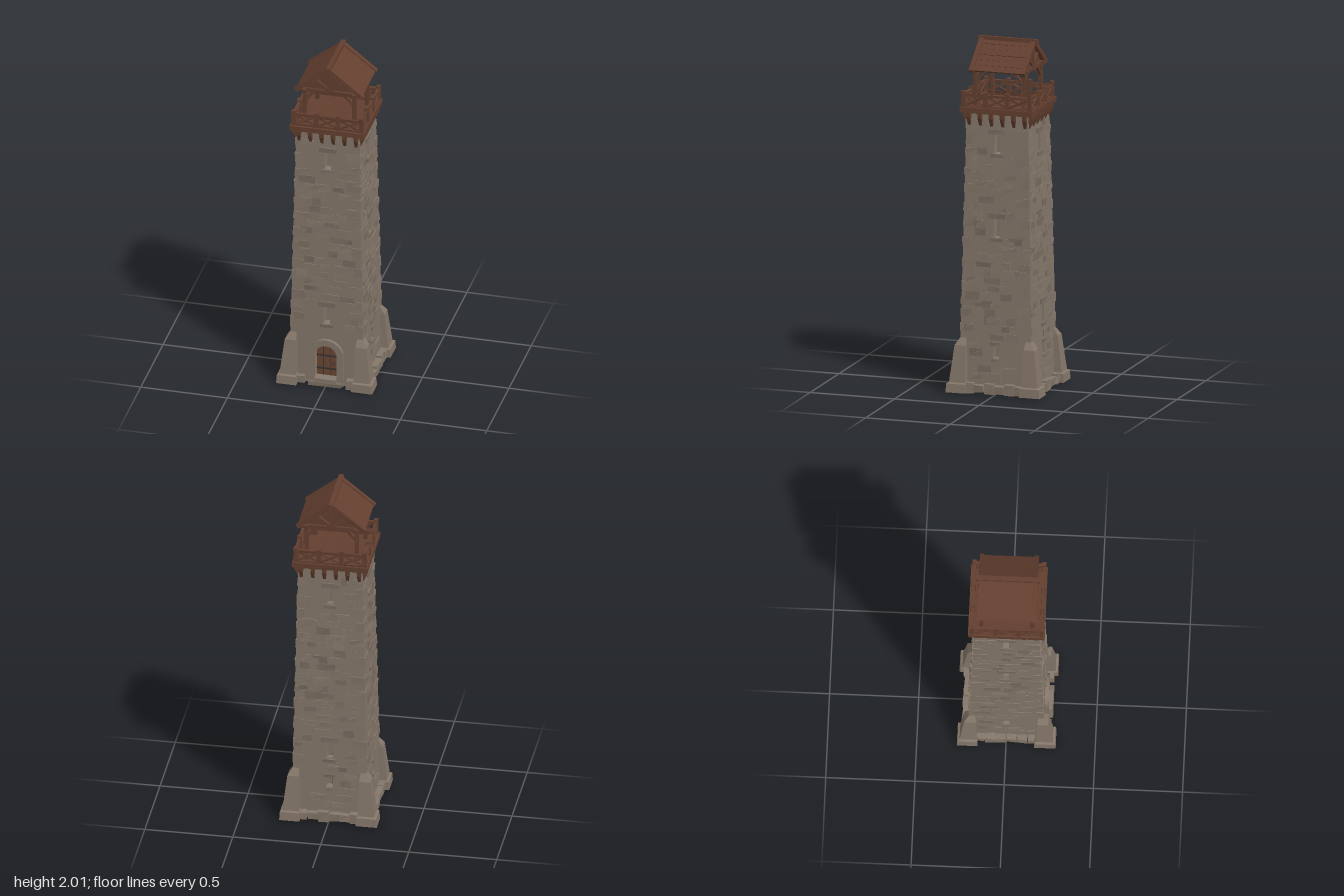
import * as THREE from 'three';
import { mergeGeometries } from 'three/addons/utils/BufferGeometryUtils.js';

const mat = (name, color) => {
  const m = new THREE.MeshStandardMaterial({ color });
  m.name = name;
  return m;
};

export function createModel() {
  const stone = mat('stone', 0x85776a);
  const darkStone = mat('dark stone', 0x796c60);
  const wood = mat('wood', 0x633f2f);
  const doorWood = mat('door wood', 0x6b4733);
  const iron = mat('iron', 0x3a3330);

  const root = new THREE.Group();
  root.name = 'watchtower';

  let seed = 7;
  const rnd = (a = 0, b = 1) => {
    seed = (seed * 16807) % 2147483647;
    return a + (b - a) * (seed / 2147483647);
  };

  const add = (parent, name, geo, material) => {
    const m = new THREE.Mesh(geo, material);
    m.name = name;
    parent.add(m);
    return m;
  };
  const newGroup = (parent, name) => {
    const g = new THREE.Group();
    g.name = name;
    parent.add(g);
    return g;
  };

  // Box with its eight corners nudged, for hewn stone and rough timber
  const rough = (w, h, d, j) => {
    const g = new THREE.BoxGeometry(w, h, d).toNonIndexed();
    const off = Array.from({ length: 8 }, () => [rnd(-j, j), rnd(-j, j), rnd(-j, j)]);
    const p = g.attributes.position;
    for (let i = 0; i < p.count; i++) {
      const [x, y, z] = [p.getX(i), p.getY(i), p.getZ(i)];
      const o = off[(x > 0 ? 1 : 0) + (y > 0 ? 2 : 0) + (z > 0 ? 4 : 0)];
      p.setXYZ(i, x + o[0], y + o[1], z + o[2]);
    }
    g.computeVertexNormals();
    return g;
  };

  // Timber from point a to point b
  const beamGeo = (a, b, w, h, j = 0.002) => {
    const A = new THREE.Vector3(...a), B = new THREE.Vector3(...b);
    const o = new THREE.Object3D();
    o.position.copy(A).add(B).multiplyScalar(0.5);
    o.lookAt(B);
    o.updateMatrix();
    return rough(w, h, A.distanceTo(B), j).applyMatrix4(o.matrix);
  };
  const beam = (parent, name, a, b, w, h, m = wood) => add(parent, name, beamGeo(a, b, w, h), m);

  // Solid through rectangular sections [y, x0, x1, z0, z1]
  const loft = (sections) => {
    const v = [];
    const rings = sections.map(([y, x0, x1, z0, z1]) => [[x0, y, z0], [x0, y, z1], [x1, y, z1], [x1, y, z0]]);
    const quad = (a, b, c, d) => v.push(...a, ...b, ...c, ...a, ...c, ...d);
    for (let k = 0; k + 1 < rings.length; k++) {
      for (let i = 0; i < 4; i++) {
        const n = (i + 1) % 4;
        quad(rings[k][i], rings[k][n], rings[k + 1][n], rings[k + 1][i]);
      }
    }
    quad(...rings[rings.length - 1]);
    quad(...[...rings[0]].reverse());
    const g = new THREE.BufferGeometry();
    g.setAttribute('position', new THREE.Float32BufferAttribute(v, 3));
    g.computeVertexNormals();
    return g;
  };

  // Shaft: four mitred, inward leaning walls
  const H = 1.59, T = 0.045;
  const half = (y) => 0.216 - 0.034 * (y / H);
  const lean = -Math.atan(0.034 / H);
  const windows = [
    [[1.36, 0.11], [0.38, 0.11]],
    [[1.37, 0.11], [0.89, 0.11], [0.2, 0.065]],
    [[1.36, 0.11], [0.38, 0.11], [0.2, 0.06]],
    [[1.37, 0.11], [0.89, 0.11], [0.2, 0.065]],
  ];
  const DOOR = 0.063, SPRING = 0.185;

  for (let s = 0; s < 4; s++) {
    const side = newGroup(root, ['front', 'left', 'back', 'right'][s] + 'Side');
    side.rotation.y = s * Math.PI / 2;
    const front = s === 0;

    const shape = new THREE.Shape();
    shape.moveTo(-half(0), 0);
    if (front) {
      shape.lineTo(-DOOR, 0).lineTo(-DOOR, SPRING);
      shape.absarc(0, SPRING, DOOR, Math.PI, 0, true);
      shape.lineTo(DOOR, 0);
    }
    shape.lineTo(half(0), 0).lineTo(half(H), H).lineTo(-half(H), H).closePath();
    for (const [y, h] of windows[s]) {
      const hole = new THREE.Path();
      hole.moveTo(-0.021, y).lineTo(-0.015, y + h).lineTo(0.019, y + h).lineTo(0.018, y).closePath();
      shape.holes.push(hole);
    }
    const wall = new THREE.ExtrudeGeometry(shape, { depth: T, bevelEnabled: false, curveSegments: 10 });
    const p = wall.attributes.position;
    for (let i = 0; i < p.count; i++) {
      const hw = half(p.getY(i)), z = p.getZ(i) - T;
      p.setX(i, p.getX(i) * (hw + z) / hw);
      p.setZ(i, hw + z);
    }
    wall.computeVertexNormals();
    add(side, 'wall', wall, stone);

    // Window lintels and sills
    for (const [y, h] of windows[s]) {
      const big = h > 0.1 ? 1 : 0.6;
      for (const [n, yy, w, hh] of [['lintel', y + h + 0.015, 0.1, 0.03], ['sill', y - 0.01, 0.075, 0.02]]) {
        add(side, n, rough(w * big, hh * big, 0.03, 0.002), darkStone).position.set(0, yy, half(yy) - 0.006);
      }
    }

    // Raised stones scattered in courses
    const light = [], dark = [];
    const blocked = (x, y, w, h) =>
      windows[s].some(([wy, wh]) => Math.abs(x) < w / 2 + 0.055 && y + h / 2 > wy - 0.025 && y - h / 2 < wy + wh + 0.035) ||
      (front && y < 0.34 && Math.abs(x) < w / 2 + 0.105);
    for (let y = 0.09; y < 1.52; y += 0.046) {
      for (let n = 0; n < 3; n++) {
        const w = rnd(0.04, 0.1), h = rnd(0.025, 0.048);
        const lim = half(y) - w / 2 - 0.008 - (y < 0.33 ? 0.04 : 0);
        const x = rnd(-lim, lim);
        if (blocked(x, y, w, h)) continue;
        const g = rough(w, h, 0.016, 0.0025).rotateX(lean).translate(x, y, half(y) - 0.004);
        (rnd() < 0.35 ? dark : light).push(g);
      }
    }
    // Corner stones, long and short alternately
    for (let y = 0.37, k = 0; y < 1.53; y += rnd(0.07, 0.13), k++) {
      const w = k % 2 ? 0.08 : 0.045, d = k % 2 ? 0.045 : 0.08, e = half(y) + 0.003;
      light.push(rough(w, rnd(0.04, 0.065), d, 0.003).translate(e - w / 2, y, e - d / 2));
    }
    // Footing stones
    for (let x = -0.15; x < 0.16; x += 0.06) {
      if (front && Math.abs(x) < 0.1) continue;
      light.push(rough(0.058, rnd(0.035, 0.06), 0.06, 0.004).translate(x, 0.026, 0.218 + rnd(0, 0.008)));
    }
    add(side, 'raisedStones', mergeGeometries(light), stone);
    add(side, 'darkRaisedStones', mergeGeometries(dark), darkStone);

    // Corner buttress with stepped foot and sloped top
    add(side, 'buttress', loft([
      [0, 0.158, 0.279, 0.16, 0.275], [0.05, 0.16, 0.274, 0.162, 0.272], [0.056, 0.166, 0.262, 0.166, 0.26],
      [0.265, 0.172, 0.236, 0.17, 0.236], [0.315, 0.178, 0.204, 0.176, 0.204],
    ]), stone);

    // Wooden brackets under the platform
    for (let i = 0; i < 6; i++) {
      const x = -0.165 + i * 0.066;
      add(side, 'bracket', loft([
        [1.525, x - 0.008, x + 0.008, 0.165, 0.187],
        [1.57, x - 0.011, x + 0.011, 0.165, 0.207], [1.605, x - 0.011, x + 0.011, 0.165, 0.21],
      ]), wood);
    }

    // Platform edge and railing with crossed braces
    beam(side, 'platformEdge', [-0.213, 1.614, 0.201], [0.213, 1.614, 0.201], 0.026, 0.03);
    const R = 0.195, posts = [-R, -0.063, 0.063, R];
    beam(side, 'topRail', [-0.205, 1.697, R], [0.205, 1.697, R], 0.016, 0.016);
    beam(side, 'bottomRail', [-0.2, 1.634, R], [0.2, 1.634, R], 0.014, 0.012);
    posts.forEach((x, i) => {
      if (i === 3) return;
      beam(side, 'railPost', [x, 1.6, R], [x, 1.72, R], 0.024, 0.024);
      const x2 = posts[i + 1];
      beam(side, 'railBrace', [x + 0.008, 1.638, R + 0.003], [x2 - 0.008, 1.692, R + 0.003], 0.01, 0.012);
      beam(side, 'railBrace', [x + 0.008, 1.692, R - 0.003], [x2 - 0.008, 1.638, R - 0.003], 0.01, 0.012);
    });
  }

  // Platform floor boards
  for (let i = 0; i < 8; i++) {
    add(root, 'floorBoard', rough(0.05, 0.018, 0.4, 0.001), wood).position.set(-0.175 + i * 0.05, 1.61, 0);
  }

  // Doorway: arched surround, planks, iron straps, ring and step
  const door = newGroup(root, 'doorway');
  const arch = (r) => {
    const a = new THREE.Shape();
    a.moveTo(-r, 0).lineTo(-r, SPRING);
    a.absarc(0, SPRING, r, Math.PI, 0, true);
    return a.lineTo(r, 0);
  };
  const ring = arch(0.1);
  ring.lineTo(DOOR, 0).lineTo(DOOR, SPRING);
  ring.absarc(0, SPRING, DOOR, 0, Math.PI, false);
  ring.lineTo(-DOOR, 0).closePath();
  const surround = new THREE.ExtrudeGeometry(ring, { depth: 0.05, bevelEnabled: false, curveSegments: 9 });
  add(door, 'surround', surround, stone).position.z = 0.182;
  const leaf = new THREE.ExtrudeGeometry(arch(DOOR + 0.002).closePath(), { depth: 0.014, bevelEnabled: false, curveSegments: 9 });
  add(door, 'doorLeaf', leaf, doorWood).position.z = 0.184;
  for (const x of [-0.021, 0.021]) {
    add(door, 'plankGap', new THREE.BoxGeometry(0.003, 0.19, 0.003), iron).position.set(x, 0.14, 0.198);
  }
  for (const y of [0.09, 0.172]) {
    add(door, 'strap', rough(0.12, 0.011, 0.006, 0.0005), iron).position.set(0, y, 0.199);
  }
  add(door, 'handle', new THREE.TorusGeometry(0.009, 0.002, 5, 10), iron).position.set(0.035, 0.125, 0.201);
  add(door, 'step', rough(0.124, 0.045, 0.06, 0.002), stone).position.set(0, 0.0245, 0.222);
  add(door, 'lowerStep', rough(0.19, 0.022, 0.04, 0.002), darkStone).position.set(0, 0.013, 0.235);

  // Roof: posts, plates, knee braces
  const roof = newGroup(root, 'roof');
  const P = 0.143;
  for (const a of [-1, 1]) {
    for (const b of [-1, 1]) {
      beam(roof, 'roofPost', [a * P, 1.61, b * P], [a * P, 1.835, b * P], 0.022, 0.022);
      beam(roof, 'kneeBrace', [a * P, 1.765, b * P], [a * (P - 0.055), 1.825, b * P], 0.014, 0.014);
      beam(roof, 'kneeBrace', [a * P, 1.765, b * P], [a * P, 1.825, b * (P - 0.055)], 0.014, 0.014);
    }
    beam(roof, 'eavePlate', [a * P, 1.835, -0.168], [a * P, 1.835, 0.168], 0.022, 0.02);
    beam(roof, 'tieBeam', [-0.165, 1.836, a * P], [0.165, 1.836, a * P], 0.022, 0.022);
  }

  // Gables with king post and struts
  for (const b of [-1, 1]) {
    const tri = new THREE.Shape();
    tri.moveTo(-0.155, 1.84).lineTo(0.155, 1.84).lineTo(0, 1.965).closePath();
    add(roof, 'gableBoard', new THREE.ExtrudeGeometry(tri, { depth: 0.008, bevelEnabled: false }), wood).position.z = b * 0.138 - 0.004;
    beam(roof, 'kingPost', [0, 1.84, b * 0.147], [0, 1.965, b * 0.147], 0.018, 0.018);
    for (const a of [-1, 1]) {
      beam(roof, 'strut', [a * 0.01, 1.85, b * 0.147], [a * 0.075, 1.905, b * 0.147], 0.014, 0.014);
      beam(roof, 'rafter', [a * 0.002, 1.982, b * 0.152], [a * 0.193, 1.832, b * 0.152], 0.028, 0.024);
    }
  }

  // Roof boards laid along the ridge
  for (const a of [-1, 1]) {
    for (let i = 0; i < 6; i++) {
      const t = (i + 0.5) / 6, len = 0.318 + rnd(-0.008, 0.008);
      const m = add(roof, 'roofBoard', rough(0.042, 0.011, len, 0.0015), wood);
      m.position.set(a * 0.186 * t, 1.982 - 0.146 * t, 0);
      m.rotation.z = -a * (Math.atan2(0.146, 0.186) - 0.04);
    }
  }
  beam(roof, 'ridgeBeam', [0, 1.983, -0.178], [0, 1.983, 0.178], 0.028, 0.03);

  return root;
}
